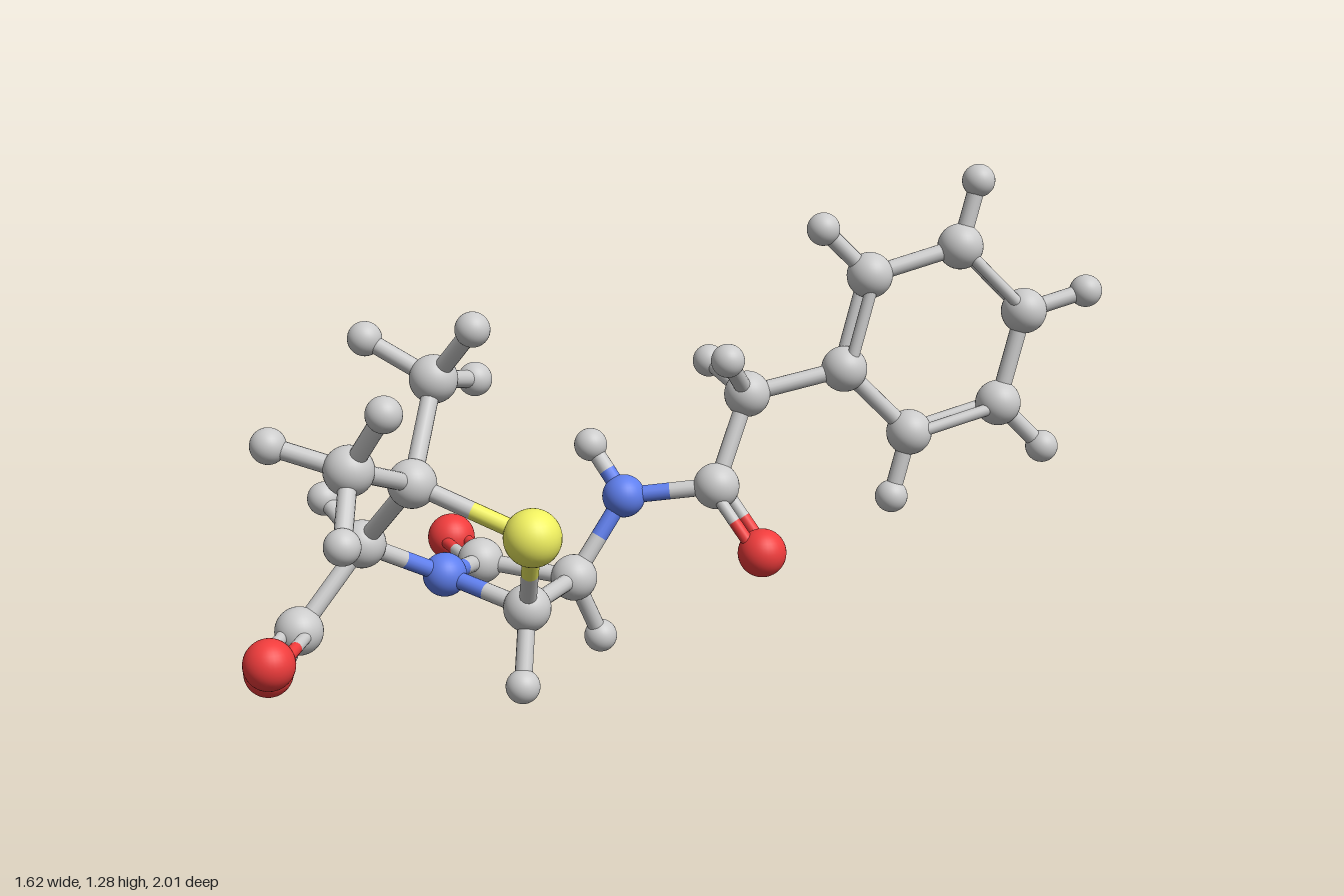
import * as THREE from 'three';

// Element styles: ball radius and colour
const ELEMENTS = {
  C: { name: 'carbon', r: 0.06, color: 0xcccccc },
  H: { name: 'hydrogen', r: 0.043, color: 0xcccccc },
  N: { name: 'nitrogen', r: 0.056, color: 0x5f7fee },
  O: { name: 'oxygen', r: 0.063, color: 0xf03c3c },
  S: { name: 'sulfur', r: 0.071, color: 0xf0f060 },
};

// Heavy atoms: the first letter of the key is the element
const ATOMS = {
  // five-membered ring with sulfur, and its two methyls
  S1: [-0.01, 0.48, 0.48],
  C2: [-0.29, 0.595, 0.58],
  C3: [-0.485, 0.405, 0.54],
  N4: [-0.39, 0.29, 0.335],
  C5: [-0.145, 0.24, 0.32],
  CmethylA: [-0.345, 0.815, 0.42],
  CmethylB: [-0.265, 0.685, 0.837],
  // four-membered ring
  C6: [-0.195, 0.24, 0.045],
  C7: [-0.44, 0.265, 0.12],
  O7: [-0.625, 0.272, 0.005],
  // acid group
  Cacid: [-0.55, 0.215, 0.708],
  Oacid: [-0.465, 0.203, 0.91],
  Ohydroxyl: [-0.7, 0.065, 0.66],
  // amide link and methylene
  Namide: [-0.125, 0.44, -0.083],
  Camide: [0.083, 0.47, -0.203],
  Oamide: [0.215, 0.308, -0.215],
  Cmethylene: [0.108, 0.697, -0.313],
};

// Hydrogens listed under the atom that carries them
const HYDROGENS = {
  CmethylA: [[-0.515, 0.905, 0.472], [-0.207, 0.955, 0.442], [-0.36, 0.78, 0.235]],
  CmethylB: [[-0.143, 0.835, 0.855], [-0.435, 0.737, 0.917], [-0.19, 0.545, 0.955]],
  C3: [[-0.655, 0.482, 0.48]],
  Ohydroxyl: [[-0.775, 0.066, 0.527]],
  C5: [[-0.104, 0.066, 0.398]],
  C6: [[-0.167, 0.066, -0.035]],
  Namide: [[-0.225, 0.565, -0.078]],
  Cmethylene: [[-0.058, 0.753, -0.393], [0.14, 0.814, -0.161]],
};

// Pairs of joined atoms
const SINGLE_BONDS = [
  ['S1', 'C2'], ['C2', 'C3'], ['C3', 'N4'], ['N4', 'C5'], ['C5', 'S1'],
  ['C2', 'CmethylA'], ['C2', 'CmethylB'],
  ['C5', 'C6'], ['C6', 'C7'], ['C7', 'N4'],
  ['C3', 'Cacid'], ['Cacid', 'Ohydroxyl'],
  ['C6', 'Namide'], ['Namide', 'Camide'], ['Camide', 'Cmethylene'], ['Cmethylene', 'Cring0'],
  ['Cring1', 'Cring2'], ['Cring3', 'Cring4'], ['Cring5', 'Cring0'],
];
const DOUBLE_BONDS = [
  ['C7', 'O7'], ['Cacid', 'Oacid'], ['Camide', 'Oamide'],
  ['Cring0', 'Cring1'], ['Cring2', 'Cring3'], ['Cring4', 'Cring5'],
];

// Six-sided carbon ring: centre and the two half-axes of its plane
const RING_CENTRE = new THREE.Vector3(0.47, 0.821, -0.665);
const RING_U = new THREE.Vector3(0.172, 0.067, -0.177);
const RING_V = new THREE.Vector3(-0.054, 0.242, 0.037);

const UP = new THREE.Vector3(0, 1, 0);

export function createModel() {
  const model = new THREE.Group();
  model.name = 'molecule';
  const atomGroup = new THREE.Group();
  atomGroup.name = 'atoms';
  const bondGroup = new THREE.Group();
  bondGroup.name = 'bonds';
  model.add(atomGroup, bondGroup);

  const materials = {};
  const balls = {};
  for (const [key, e] of Object.entries(ELEMENTS)) {
    materials[key] = new THREE.MeshStandardMaterial({ color: e.color });
    balls[key] = new THREE.SphereGeometry(e.r, 32, 20);
  }
  const rod = new THREE.CylinderGeometry(1, 1, 1, 16, 1, true);

  function addAtom(element, position) {
    const ball = new THREE.Mesh(balls[element], materials[element]);
    ball.name = ELEMENTS[element].name + 'Atom';
    ball.position.copy(position);
    atomGroup.add(ball);
  }

  function addRod(from, to, radius, element) {
    const dir = to.clone().sub(from);
    const mesh = new THREE.Mesh(rod, materials[element]);
    mesh.name = ELEMENTS[element].name + 'BondHalf';
    mesh.scale.set(radius, dir.length(), radius);
    mesh.position.copy(from).lerp(to, 0.5);
    mesh.quaternion.setFromUnitVectors(UP, dir.normalize());
    bondGroup.add(mesh);
  }

  // Each bond is split at its middle and takes the colour of either end
  function addBond(a, elementA, b, elementB, isDouble) {
    const side = new THREE.Vector3().subVectors(b, a).cross(UP).normalize();
    const radius = isDouble ? 0.016 : 0.022;
    for (const offset of isDouble ? [-0.028, 0.028] : [0]) {
      const p = a.clone().addScaledVector(side, offset);
      const q = b.clone().addScaledVector(side, offset);
      const middle = p.clone().lerp(q, 0.5);
      addRod(p, middle, radius, elementA);
      addRod(middle, q, radius, elementB);
    }
  }

  const positions = {};
  const hydrogens = {};
  for (const key in ATOMS) positions[key] = new THREE.Vector3(...ATOMS[key]);
  for (const key in HYDROGENS) hydrogens[key] = HYDROGENS[key].map((p) => new THREE.Vector3(...p));

  // Ring carbons, with a hydrogen pointing outward from all but the first
  for (let i = 0; i < 6; i++) {
    const angle = Math.PI - (i * Math.PI) / 3;
    const spoke = RING_U.clone().multiplyScalar(Math.cos(angle)).addScaledVector(RING_V, Math.sin(angle));
    positions['Cring' + i] = RING_CENTRE.clone().add(spoke);
    if (i > 0) hydrogens['Cring' + i] = [RING_CENTRE.clone().addScaledVector(spoke, 1.7)];
  }

  for (const key in positions) addAtom(key[0], positions[key]);
  for (const key in hydrogens) {
    for (const h of hydrogens[key]) {
      addAtom('H', h);
      addBond(positions[key], key[0], h, 'H', false);
    }
  }
  for (const [a, b] of SINGLE_BONDS) addBond(positions[a], a[0], positions[b], b[0], false);
  for (const [a, b] of DOUBLE_BONDS) addBond(positions[a], a[0], positions[b], b[0], true);
  return model;
}
